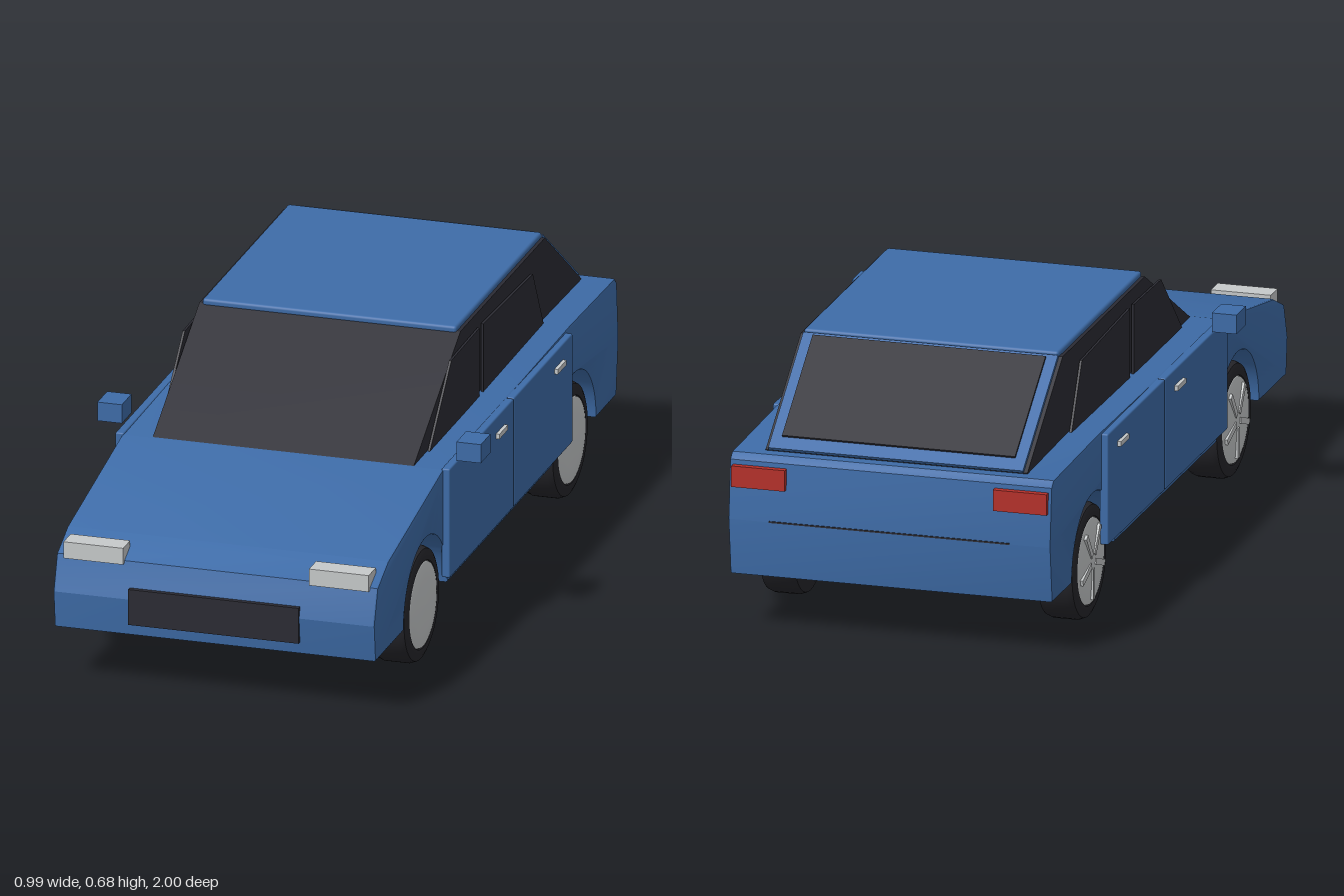
import * as THREE from 'three';
import { toCreasedNormals } from 'three/addons/utils/BufferGeometryUtils.js';
import { RoundedBoxGeometry } from 'three/addons/geometries/RoundedBoxGeometry.js';

const paint = new THREE.MeshStandardMaterial({ name: 'bluePaint', color: 0x3e6ca8 });
const glass = new THREE.MeshStandardMaterial({ name: 'darkGlass', color: 0x2b2b33 });
const rubber = new THREE.MeshStandardMaterial({ name: 'tyreRubber', color: 0x26262b });
const silver = new THREE.MeshStandardMaterial({ name: 'silver', color: 0xc6c9ca });
const red = new THREE.MeshStandardMaterial({ name: 'tailRed', color: 0xb5302a });

function add(parent, name, geometry, material, x = 0, y = 0, z = 0) {
  const mesh = new THREE.Mesh(geometry, material);
  mesh.name = name;
  mesh.position.set(x, y, z);
  parent.add(mesh);
  return mesh;
}

// Box given by its limits on each axis
function block(parent, name, material, [x0, x1], [y0, y1], [z0, z1], radius = 0) {
  const size = [x1 - x0, y1 - y0, z1 - z0];
  const geometry = radius ? new RoundedBoxGeometry(...size, 2, radius) : new THREE.BoxGeometry(...size);
  return add(parent, name, geometry, material, (x0 + x1) / 2, (y0 + y1) / 2, (z0 + z1) / 2);
}

// Side profile in (z, y), extruded across the car and centred on x = 0
function prism(shape, width, bevel = 0) {
  const geometry = new THREE.ExtrudeGeometry(shape, {
    depth: width - 2 * bevel, curveSegments: 28, bevelEnabled: bevel > 0,
    bevelSize: bevel, bevelThickness: bevel, bevelOffset: -bevel, bevelSegments: 2,
  });
  geometry.translate(0, 0, bevel - width / 2);
  geometry.rotateY(-Math.PI / 2);
  return toCreasedNormals(geometry, 0.4);
}
const polygon = (points) => new THREE.Shape(points.map(([z, y]) => new THREE.Vector2(z, y)));

const FRONT_AXLE = 0.578, REAR_AXLE = -0.635, SILL = 0.145, ARCH = 0.178;

function bodyShape() {
  const s = polygon([[0.985, SILL], [0.996, 0.24], [0.967, 0.33], [0.88, 0.37], [0.435, 0.452],
    [-0.6, 0.462], [-0.965, 0.455], [-0.982, 0.44], [-0.996, 0.29], [-0.978, SILL]]);
  for (const z of [REAR_AXLE, FRONT_AXLE]) {
    s.lineTo(z - ARCH, SILL);
    s.absarc(z, SILL, ARCH, Math.PI, 0, true);
  }
  s.closePath();
  return s;
}

// Plate lying on the rear slope, from fraction a to b, between heights h0 and h1 above it
function slopePlate(a, b, h0, h1, width) {
  const at = (t, h) => [-0.645 - 0.295 * t - 0.574 * h, 0.67 - 0.21 * t + 0.82 * h];
  return prism(polygon([at(a, h0), at(a, h1), at(b, h1), at(b, h0)]), width);
}

function wheel(side, spoked) {
  const group = new THREE.Group();
  const profile = [[0, -0.05], [0.125, -0.05], [0.141, -0.045], [0.147, -0.03],
    [0.147, 0.03], [0.141, 0.045], [0.13, 0.05], [0.112, 0.05], [0.108, 0.042], [0, 0.042]];
  const tyre = new THREE.LatheGeometry(profile.map((p) => new THREE.Vector2(...p)), 40);
  add(group, 'tyre', toCreasedNormals(tyre, 0.7), rubber).rotation.z = -Math.PI / 2;
  const dome = [[0.111, 0.044], [0.108, 0.051], [0.07, 0.054], [0.03, 0.056], [0, 0.0565]];
  const cap = new THREE.LatheGeometry(dome.map((p) => new THREE.Vector2(...p)), 40);
  add(group, 'hubCap', cap, silver).rotation.z = -Math.PI / 2;
  // Five raised spokes
  for (let i = 0; spoked && i < 5; i++) {
    const spoke = new THREE.BoxGeometry(0.012, 0.078, 0.016).translate(0.053, 0.058, 0);
    add(group, 'spoke', spoke, silver).rotation.x = Math.PI + (i * Math.PI * 2) / 5;
  }
  if (side < 0) group.rotation.y = Math.PI;
  return group;
}

export function createModel() {
  const car = new THREE.Group();
  car.name = 'car';

  // Body shell, cabin and roof
  add(car, 'body', prism(bodyShape(), 0.83, 0.005), paint);
  add(car, 'cabin', prism(polygon([[0.45, 0.44], [0.43, 0.452], [0.05, 0.67],
    [-0.64, 0.67], [-0.935, 0.458], [-0.935, 0.44]]), 0.674), glass);
  block(car, 'roof', paint, [-0.328, 0.328], [0.664, 0.683], [-0.645, 0.055], 0.007);

  // Hatch frame and rear window
  add(car, 'hatchFrame', slopePlate(0, 1, -0.002, 0.007, 0.656), paint);
  add(car, 'rearWindow', slopePlate(0.03, 0.9, 0.008, 0.014, 0.6), glass);

  // Grille and rear seam
  block(car, 'grille', glass, [-0.22, 0.22], [0.175, 0.268], [0.96, 1.0]);
  block(car, 'rearSeam', glass, [-0.31, 0.31], [0.289, 0.293], [-0.998, -0.985]);

  for (const side of [1, -1]) {
    const span = (a, b) => (side > 0 ? [a, b] : [-b, -a]);

    // Doors and handles
    block(car, 'frontDoor', paint, span(0.41, 0.432), [0.17, 0.456], [-0.086, 0.436], 0.004);
    block(car, 'rearDoor', paint, span(0.41, 0.432), [0.17, 0.456], [-0.566, -0.09], 0.004);
    block(car, 'frontHandle', silver, span(0.43, 0.441), [0.402, 0.415], [-0.01, 0.06]);
    block(car, 'rearHandle', silver, span(0.43, 0.441), [0.402, 0.415], [-0.487, -0.417]);

    // Side windows
    const panes = {
      frontWindow: [[0.33, 0.456], [0.155, 0.632], [-0.075, 0.636], [-0.075, 0.456]],
      rearWindow: [[-0.105, 0.456], [-0.105, 0.636], [-0.51, 0.622], [-0.6, 0.456]],
    };
    for (const [name, points] of Object.entries(panes)) {
      add(car, name, prism(polygon(points), 0.006), glass, side * 0.344);
    }

    // Mirrors and lamps
    block(car, 'mirror', paint, span(0.432, 0.495), [0.46, 0.509], [0.303, 0.382]);
    block(car, 'headlight', silver, span(0.24, 0.394), [0.323, 0.366], [0.92, 0.978]);
    block(car, 'tailLight', red, span(0.268, 0.406), [0.374, 0.428], [-1.0, -0.97]);

    // Wheels
    for (const [name, z] of [['frontWheel', FRONT_AXLE], ['rearWheel', REAR_AXLE]]) {
      const w = wheel(side, side < 0);
      w.name = name;
      w.position.set(side * 0.358, 0.148, z);
      car.add(w);
    }
  }
  return car;
}
